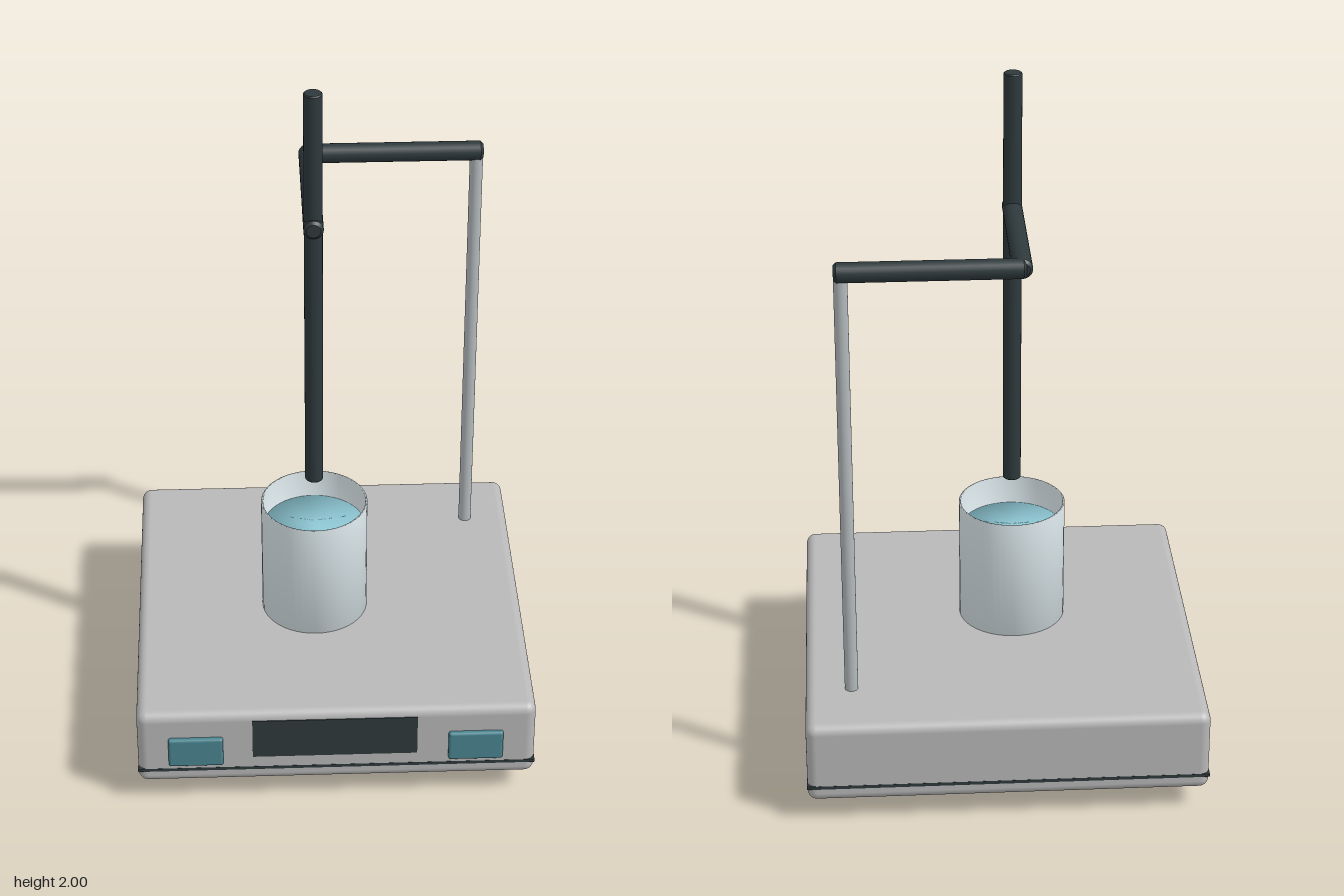
import * as THREE from 'three';
import { RoundedBoxGeometry } from 'three/addons/geometries/RoundedBoxGeometry.js';

const mat = (color) => new THREE.MeshStandardMaterial({ color });

export function createModel() {
  const model = new THREE.Group();
  const grey = mat(0xb8b8b8), dark = mat(0x2e393c), rubber = mat(0x222829);
  const teal = mat(0x4a8590), steel = mat(0xb4babd);
  const glass = mat(0xe2eef2), water = mat(0x8fc9d6);
  glass.side = THREE.DoubleSide;

  const add = (name, geometry, material, x, y, z) => {
    const mesh = new THREE.Mesh(geometry, material);
    mesh.name = name;
    mesh.position.set(x, y, z);
    model.add(mesh);
    return mesh;
  };
  const box = (w, h, d) => new THREE.BoxGeometry(w, h, d);
  const lathe = (points, n = 48) =>
    new THREE.LatheGeometry(points.map(([x, y]) => new THREE.Vector2(x, y)), n);

  // Round bar along y with slightly chamfered ends, centred on the origin
  const bar = (r, length, c = 0.008) => {
    const h = length / 2;
    return lathe([
      [0, -h], [r - c, -h], [r - c, -h], [r, -h + c], [r, -h + c],
      [r, h - c], [r, h - c], [r - c, h], [r - c, h], [0, h],
    ], 24);
  };

  // Housing with its seam
  const zc = -0.006;
  add('housing', new RoundedBoxGeometry(1.136, 0.246, 1.136, 4, 0.028), grey, 0, 0.19, zc);
  add('housingSeam', box(1.137, 0.01, 1.137), dark, 0, 0.115, zc);

  // Feet
  for (const x of [-0.39, 0.39]) {
    for (const z of [-0.39, 0.385]) {
      add('foot', new THREE.CylinderGeometry(0.062, 0.062, 0.075, 32), rubber, x, 0.0375, z);
    }
  }

  // Front panel: display and two buttons
  add('display', box(0.47, 0.13, 0.012), dark, -0.005, 0.222, 0.558);
  for (const x of [-0.402, 0.397]) {
    add('button', new RoundedBoxGeometry(0.156, 0.096, 0.03, 3, 0.008), teal, x, 0.184, 0.561);
  }

  // Cooling slots on the left side
  for (let i = 0; i < 5; i++) {
    add('ventSlot', box(0.012, 0.092, 0.037), dark, 0.5645, 0.16, -0.173 - i * 0.0632);
  }

  // Beaker with liquid
  const bx = -0.045, bz = 0.045;
  add('beaker', lathe([
    [0, 0], [0.155, 0], [0.155, 0.368], [0.149, 0.368], [0.149, 0.012], [0, 0.012],
  ]), glass, bx, 0.312, bz);
  add('liquid', lathe([[0, 0], [0.148, 0], [0.148, 0.27], [0, 0.27]]), water, bx, 0.326, bz);

  // Support post, two-part arm and upright probe
  add('supportPost', new THREE.CylinderGeometry(0.019, 0.019, 1.29, 24), steel, 0.437, 0.945, -0.368);
  add('crossArm', bar(0.028, 0.512), dark, 0.2, 1.6, -0.37).rotation.z = Math.PI / 2;
  add('forwardArm', bar(0.028, 0.465), dark, bx, 1.6, -0.15).rotation.x = Math.PI / 2;
  add('probe', bar(0.026, 1.24, 0.003), dark, bx, 1.38, bz);

  return model;
}
